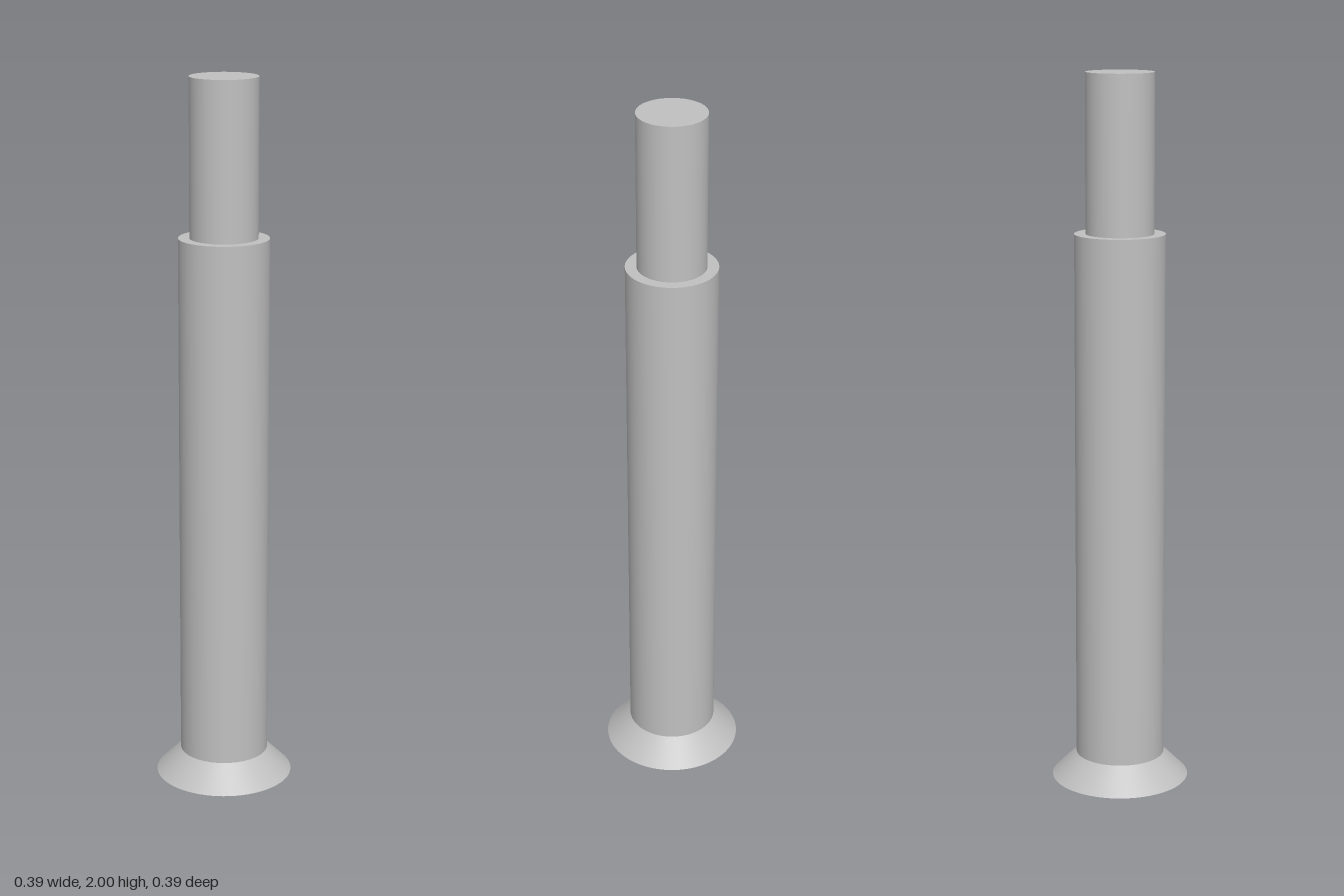
import * as THREE from 'three';

export function createModel() {
  const model = new THREE.Group();
  const steel = new THREE.MeshStandardMaterial({ color: 0xc0c0c0 });
  steel.name = 'steel';

  const HEAD_R = 0.194, SHAFT_R = 0.125, TIP_R = 0.094;
  const HEAD_TOP = 0.07, SHAFT_TOP = 1.565, TOP = 2;
  const SOCKET_R = 0.072, SOCKET_DEPTH = 0.09, SEGMENTS = 96;

  const add = (name, geometry, y = 0) => {
    const mesh = new THREE.Mesh(geometry, steel);
    mesh.name = name;
    mesh.position.y = y;
    model.add(mesh);
  };

  // Open round wall between two heights
  const wall = (name, rTop, rBottom, y0, y1) =>
    add(name, new THREE.CylinderGeometry(rTop, rBottom, y1 - y0, SEGMENTS, 1, true), (y0 + y1) / 2);

  wall('countersunkHead', SHAFT_R, HEAD_R, 0, HEAD_TOP);
  wall('shaft', SHAFT_R, SHAFT_R, HEAD_TOP, SHAFT_TOP);
  wall('tip', TIP_R, TIP_R, SHAFT_TOP, TOP);

  // Upward faces: shoulder step and tip end
  add('shoulder', new THREE.RingGeometry(TIP_R, SHAFT_R, SEGMENTS).rotateX(-Math.PI / 2), SHAFT_TOP);
  add('tipEnd', new THREE.CircleGeometry(TIP_R, SEGMENTS).rotateX(-Math.PI / 2), TOP);

  // Underside of the head with a hexagonal opening
  const disc = new THREE.Shape().absarc(0, 0, HEAD_R, 0, Math.PI * 2);
  const corners = Array.from({ length: 6 }, (_, i) => {
    const a = Math.PI / 2 + i * Math.PI / 3;
    return new THREE.Vector2(SOCKET_R * Math.cos(a), SOCKET_R * Math.sin(a));
  });
  disc.holes.push(new THREE.Path(corners));
  add('headUnderside', new THREE.ShapeGeometry(disc, SEGMENTS).rotateX(Math.PI / 2));

  // Hex socket walls, mirrored so that they face inward
  const socket = new THREE.CylinderGeometry(SOCKET_R, SOCKET_R, SOCKET_DEPTH, 6, 1, true)
    .scale(-1, 1, 1).toNonIndexed();
  socket.computeVertexNormals();
  add('socketWalls', socket, SOCKET_DEPTH / 2);
  add('socketFloor', new THREE.CircleGeometry(SOCKET_R, 6, Math.PI / 2).rotateX(Math.PI / 2), SOCKET_DEPTH);

  return model;
}
